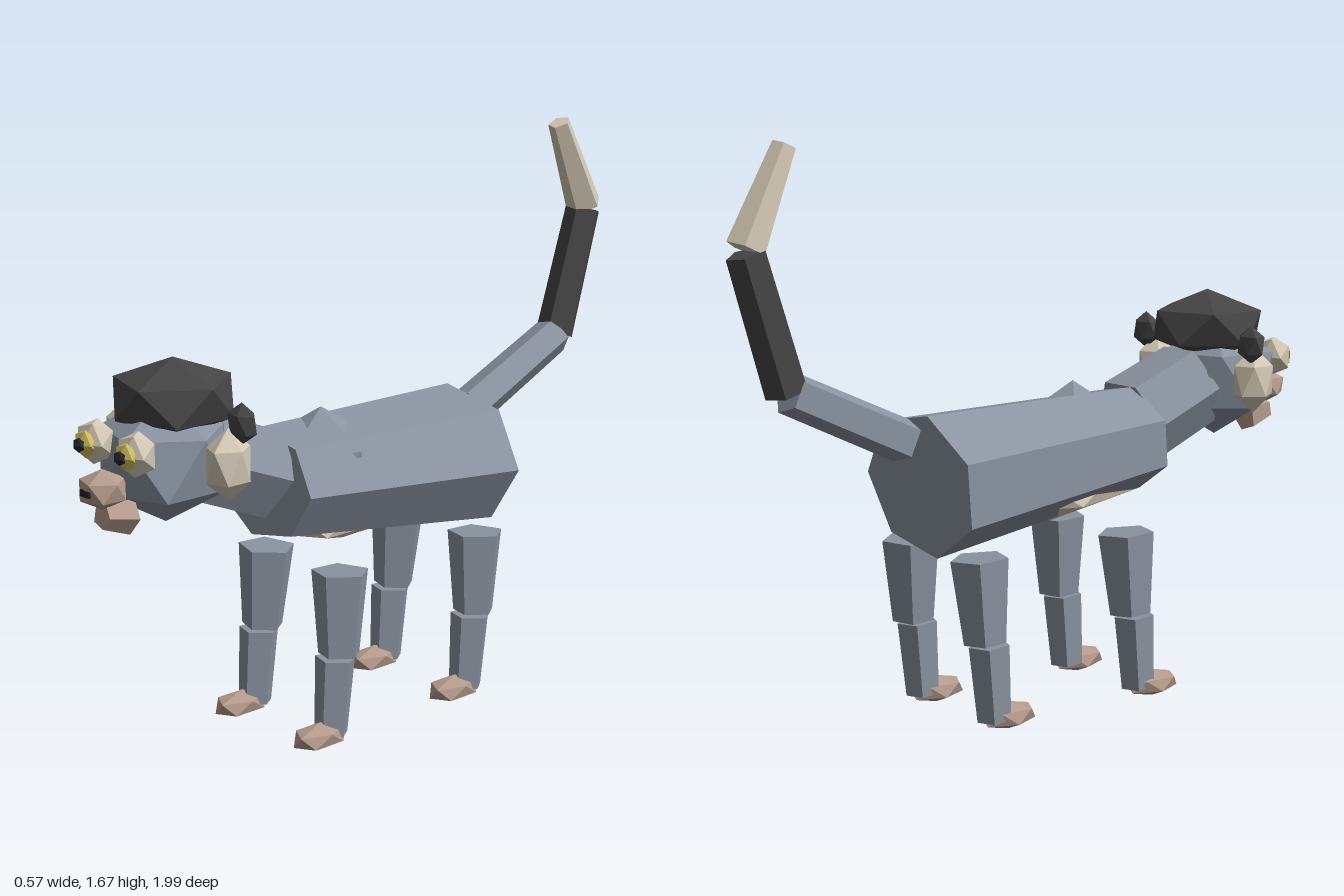
import * as THREE from 'three';

const mat = (name, color) => {
  const m = new THREE.MeshStandardMaterial({ color });
  m.name = name;
  return m;
};

export function createModel() {
  const root = new THREE.Group();
  root.name = 'animal';

  const fur = mat('grey fur', 0x8a93a0);
  const dark = mat('dark fur', 0x454545);
  const cream = mat('cream', 0xd2c8b4);
  const skin = mat('pink skin', 0xb49a8c);
  const yellow = mat('yellow iris', 0xcdbd62);
  const black = mat('pupil', 0x222428);

  const add = (name, geo, material) => {
    const mesh = new THREE.Mesh(geo, material);
    mesh.name = name;
    root.add(mesh);
    return mesh;
  };

  // Faceted blob: icosahedron with one corner straight up and one toward +x
  const blobGeo = new THREE.IcosahedronGeometry(1, 0);
  blobGeo.rotateZ(-Math.atan(2 / (1 + Math.sqrt(5))));
  const blob = (name, material, pos, size) => {
    const mesh = add(name, blobGeo, material);
    mesh.position.set(...pos);
    mesh.scale.set(...size);
    return mesh;
  };

  // Faceted tapered prism between two points, with a corner toward +x
  const up = new THREE.Vector3(0, 1, 0);
  const limb = (name, material, from, to, r0, r1, sides = 5, squash = 1) => {
    const a = new THREE.Vector3(...from), b = new THREE.Vector3(...to);
    const indexed = new THREE.CylinderGeometry(r1, r0, a.distanceTo(b), sides, 1, false, Math.PI / 2);
    const geo = indexed.toNonIndexed();
    geo.scale(1, 1, squash);
    geo.computeVertexNormals();
    const mesh = add(name, geo, material);
    mesh.position.copy(a).add(b).multiplyScalar(0.5);
    mesh.quaternion.setFromUnitVectors(up, b.sub(a).normalize());
    return mesh;
  };

  // Torso
  limb('body', fur, [0, 0.698, -0.387], [0, 0.756, 0.378], 0.257, 0.194, 7, 0.815);
  blob('chest', fur, [0, 0.76, 0.165], [0.183, 0.183, 0.183]);
  blob('belly', cream, [0, 0.65, 0.08], [0.17, 0.115, 0.33]);
  limb('neck', fur, [0, 0.798, 0.392], [0, 0.89, 0.625], 0.14, 0.136, 6);

  // Head
  blob('head', fur, [0, 0.905, 0.73], [0.2, 0.18, 0.2]);
  blob('hairCap', dark, [0, 1.065, 0.695], [0.187, 0.11, 0.185]);
  blob('muzzle', skin, [0, 0.857, 0.938], [0.072, 0.056, 0.07]);
  limb('chin', skin, [0, 0.768, 0.855], [0, 0.784, 0.943], 0.052, 0.036);
  const nostril = add('nostril', new THREE.BoxGeometry(0.04, 0.018, 0.008), black);
  nostril.position.set(0, 0.856, 0.994);

  // Ears and eyes
  for (const [side, s] of [['left', 1], ['right', -1]]) {
    blob(side + 'Ear', cream, [s * 0.215, 0.92, 0.687], [0.062, 0.1, 0.072]);
    blob(side + 'EarTuft', dark, [s * 0.236, 1.03, 0.656], [0.053, 0.057, 0.034]);
    const layers = [
      ['EyeWhite', cream, 0.89, 0.065, 0.05],
      ['Iris', yellow, 0.92, 0.042, 0.03],
      ['Pupil', black, 0.945, 0.021, 0.015],
    ];
    for (const [part, material, z, r, depth] of layers) {
      blob(side + part, material, [s * 0.088, 0.961, z], [r, depth, r]).rotation.x = Math.PI / 2;
    }
  }

  // Legs and paws
  for (const [end, x, z] of [['front', 0.158, 0], ['rear', 0.164, -0.54]]) {
    for (const [side, s] of [['Left', 1], ['Right', -1]]) {
      const x1 = s * (x + 0.008), name = end + side;
      limb(name + 'UpperLeg', fur, [x1, 0.264, z + 0.248], [s * x, 0.507, z + 0.235], 0.062, 0.085);
      limb(name + 'LowerLeg', fur, [x1, 0.035, z + 0.28], [x1, 0.256, z + 0.262], 0.05, 0.06);
      blob(name + 'Paw', skin, [s * 0.172, 0.04, z + 0.33], [0.058, 0.04, 0.1]);
    }
  }

  // Tail in three joints
  limb('tailBase', fur, [0, 0.828, -0.437], [0, 1.0, -0.812], 0.066, 0.062);
  limb('tailMiddle', dark, [0, 1.0, -0.82], [0, 1.378, -0.938], 0.061, 0.056);
  limb('tailTip', cream, [0, 1.39, -0.938], [0, 1.656, -0.815], 0.056, 0.034);

  return root;
}
